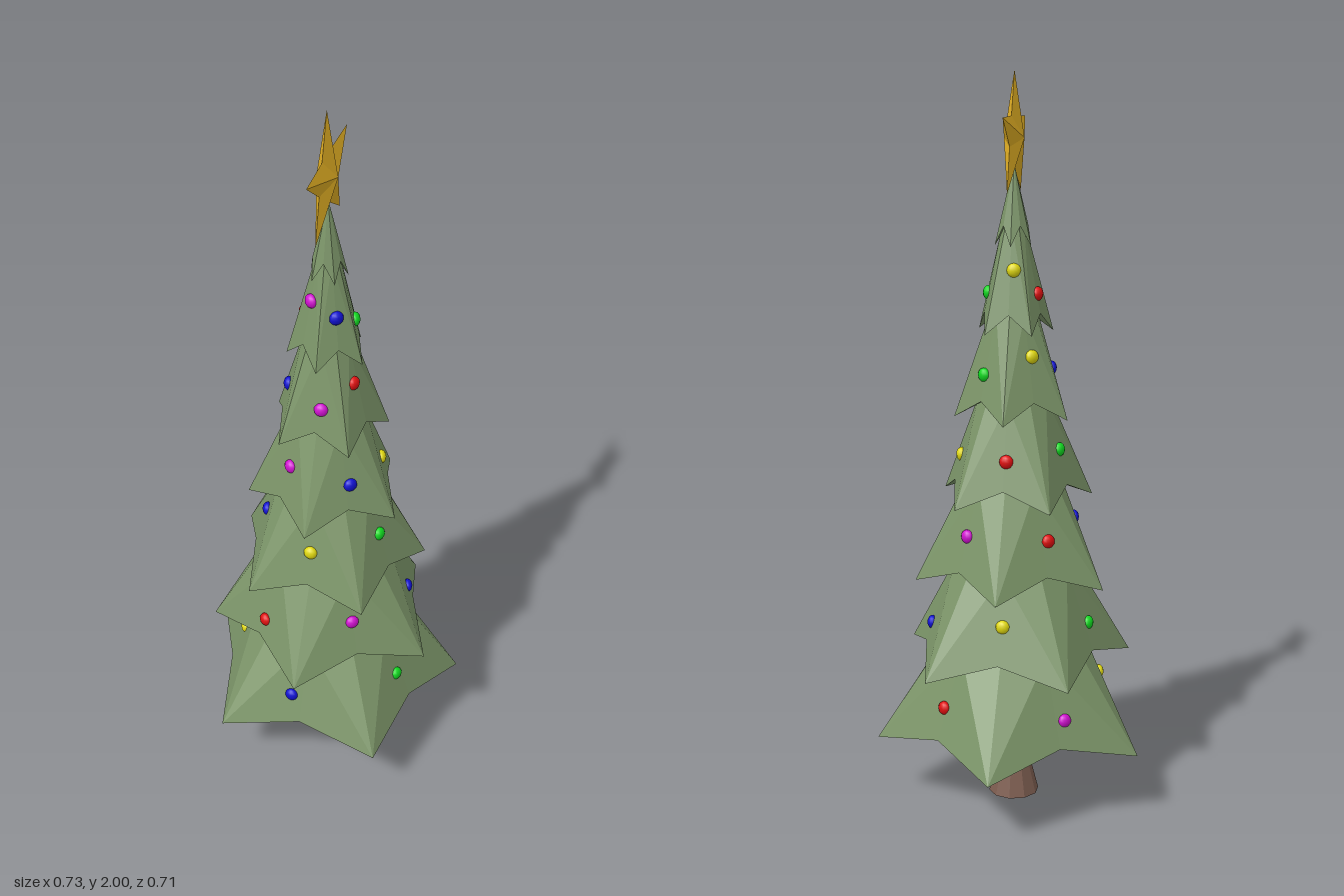
import * as THREE from 'three';

const AXIS_Z = 0.027; // the trunk stands slightly forward of the middle
const rad = THREE.MathUtils.degToRad;
const lerp = THREE.MathUtils.lerp;

const mat = (color, flatShading = true) => new THREE.MeshStandardMaterial({ color, flatShading });

// Five-pointed loft. Each ring is [tipRadius, tipY, valleyRadius, valleyY], listed from below upwards.
function starLoft(rings, startDeg) {
  const pos = [];
  const point = (ring, i) => {
    const [r, y] = i % 2 ? ring.slice(2) : ring;
    const a = rad(startDeg + i * 36);
    return [r * Math.sin(a), y, r * Math.cos(a)];
  };
  for (let k = 0; k < rings.length - 1; k++) {
    const [lo, hi] = [rings[k], rings[k + 1]];
    for (let i = 0; i < 10; i++) {
      const a = point(lo, i), b = point(lo, i + 1), c = point(hi, i + 1), d = point(hi, i);
      // diagonal always starts at the tip so both halves mirror
      const tris = i % 2 ? [a, b, d, b, c, d] : [a, b, c, a, c, d];
      if (lo[0] === 0) pos.push(...a, ...c, ...d);
      else if (hi[0] === 0) pos.push(...a, ...b, ...c);
      else tris.forEach((p) => pos.push(...p));
    }
  }
  const g = new THREE.BufferGeometry();
  g.setAttribute('position', new THREE.Float32BufferAttribute(pos, 3));
  g.computeVertexNormals();
  return g;
}

// Branch tiers: evenly shrinking, each turned half a point from the last
const TIERS = 7;
const tiers = [];
for (let i = 0; i < TIERS; i++) {
  const R = 0.383 - 0.0553 * i;
  const y = 0.18 + 0.2283 * i;
  const last = i === TIERS - 1;
  const topR = last ? 0 : (R - 0.0553) * 0.6;
  const topY = last ? 1.765 : y + 0.28;
  tiers.push({
    start: i % 2 ? 0 : 180,
    rings: [
      [R * 0.12, y + 0.07, R * 0.12, y + 0.07],
      [R, y, R * 0.745, y + 0.053],
      [topR, topY, topR, topY],
    ],
  });
}

// Distance from the axis to a tier's surface at an angle and height
function surfaceRadius({ start, rings }, deg, y) {
  const [, lo, hi] = rings;
  const tip = lerp(lo[0], hi[0], (y - lo[1]) / (hi[1] - lo[1]));
  const valley = lerp(lo[2], hi[2], (y - lo[3]) / (hi[3] - lo[3]));
  const t = (((deg - start) % 72) + 72) % 72;
  const a = rad(Math.min(t, 72 - t));
  const w = rad(36);
  return (tip * valley * Math.sin(w)) / (tip * Math.sin(a) + valley * Math.sin(w - a));
}

// Baubles per tier: [colour, angle from the front, height]
const COLORS = { r: 0xe01010, g: 0x10d820, b: 0x1010d0, y: 0xe0d810, m: 0xd010d0 };
const BAUBLES = [
  [['b', -7, 0.305], ['g', 67, 0.315], ['r', 142, 0.315], ['m', 222, 0.3], ['y', 287, 0.345]],
  [['m', 35, 0.555], ['b', 106, 0.51], ['y', 182, 0.56], ['g', 258, 0.53], ['r', 326, 0.51]],
  [['y', 1, 0.78], ['g', 71, 0.79], ['m', 144, 0.785], ['r', 222, 0.78], ['b', 289, 0.8]],
  [['b', 41, 0.985], ['y', 103, 0.985], ['r', 182, 0.995], ['g', 255, 1.01], ['m', 329, 1.015]],
  [['m', 7, 1.21], ['r', 63, 1.265], ['g', 140, 1.215], ['y', 222, 1.265], ['b', 286, 1.22]],
  [['b', 37, 1.46], ['g', 100, 1.425], ['y', 190, 1.49], ['r', 257, 1.425], ['m', 325, 1.495]],
];

export function createModel() {
  const model = new THREE.Group();
  model.name = 'decoratedTree';
  const tree = new THREE.Group();
  tree.name = 'tree';
  tree.position.z = AXIS_Z;
  model.add(tree);

  const add = (name, geometry, material, parent = tree) => {
    const mesh = new THREE.Mesh(geometry, material);
    mesh.name = name;
    parent.add(mesh);
    return mesh;
  };

  // Trunk with a flared foot
  const profile = [[0, 0], [0.07, 0], [0.042, 0.11], [0.033, 0.2], [0.033, 0.3]];
  add('trunk', new THREE.LatheGeometry(profile.map((p) => new THREE.Vector2(...p)), 10), mat(0x7d5d50));

  // Branches
  const branches = new THREE.Group();
  branches.name = 'branches';
  tree.add(branches);
  const green = mat(0x7b9468);
  tiers.forEach((t, i) => add(`branchTier${i + 1}`, starLoft(t.rings, t.start), green, branches));

  // Baubles resting half sunk in the branches
  const baubles = new THREE.Group();
  baubles.name = 'baubles';
  tree.add(baubles);
  const ball = new THREE.SphereGeometry(0.019, 12, 8);
  const paints = Object.fromEntries(Object.entries(COLORS).map(([k, c]) => [k, mat(c, false)]));
  BAUBLES.forEach((list, i) => list.forEach(([c, deg, y]) => {
    const r = surfaceRadius(tiers[i], deg, y);
    const a = rad(deg);
    const m = add('bauble', ball, paints[c], baubles);
    m.position.set(r * Math.sin(a), y, r * Math.cos(a));
    m.rotation.y = a;
    m.scale.z = 0.75;
  }));

  // Faceted star, edge-on to the front
  const star = starLoft([[0, -0.027, 0, -0.027], [0.172, 0, 0.07, 0], [0, 0.027, 0, 0.027]], 270);
  star.rotateZ(-Math.PI / 2).rotateX(0.02);
  add('topStar', star, mat(0xe3b024)).position.set(0, 1.828, 0.004);

  return model;
}
